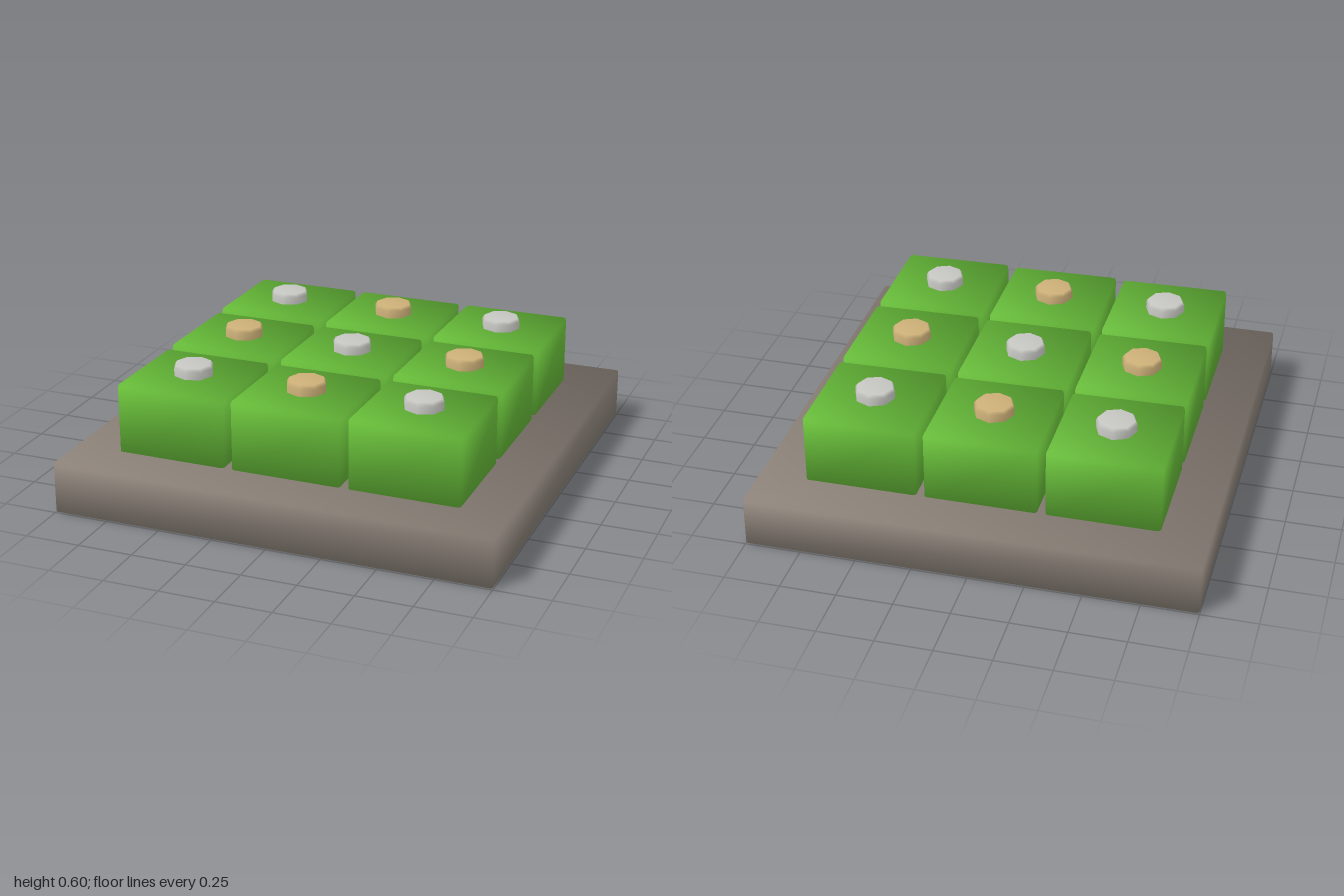
import * as THREE from 'three';
import { RoundedBoxGeometry } from 'three/addons/geometries/RoundedBoxGeometry.js';

const material = (name, color) => {
  const m = new THREE.MeshStandardMaterial({ color });
  m.name = name;
  return m;
};

// Box with a tiny chamfer, pillowy corner normals and one slightly raised top corner
function softBlock(width, height, depth, chamfer) {
  const geo = new RoundedBoxGeometry(width, height, depth, 1, chamfer);
  const p = geo.attributes.position, n = geo.attributes.normal;
  const v = new THREE.Vector3();
  for (let i = 0; i < p.count; i++) {
    v.fromBufferAttribute(p, i);
    const s = new THREE.Vector3(Math.sign(v.x), Math.sign(v.y), Math.sign(v.z));
    if (s.y > 0 && !(s.x < 0 && s.z > 0)) v.y -= 0.007;
    p.setXYZ(i, v.x, v.y, v.z);
    s.normalize();
    n.setXYZ(i, s.x, s.y, s.z);
  }
  return geo;
}

export function createModel() {
  const group = new THREE.Group();
  const stone = material('warm grey', 0x8c8279);
  const green = material('leaf green', 0x66bb38);
  const silver = material('light grey', 0xc6c6c2);
  const tan = material('tan', 0xcdb078);

  const add = (name, geo, mat, x, y, z) => {
    const mesh = new THREE.Mesh(geo, mat);
    mesh.name = name;
    mesh.position.set(x, y, z);
    group.add(mesh);
  };

  // Base slab
  add('baseSlab', softBlock(2, 0.24, 2, 0.012), stone, 0, 0.13, 0);

  // Octagonal stud with a bevelled rim
  const stud = new THREE.LatheGeometry(
    [[0.09, 0], [0.09, 0.045], [0.08, 0.06], [0, 0.06]].map(([r, y]) => new THREE.Vector2(r, y)), 8);
  const block = softBlock(0.5, 0.335, 0.5, 0.014);

  // Three by three blocks, with stud colours alternating
  for (let row = -1; row <= 1; row++) {
    for (let col = -1; col <= 1; col++) {
      const x = col * 0.536, z = row * 0.536;
      add('block', block, green, x, 0.397, z);
      add('stud', stud, (row + col) % 2 === 0 ? silver : tan, x, 0.55, z);
    }
  }
  return group;
}
